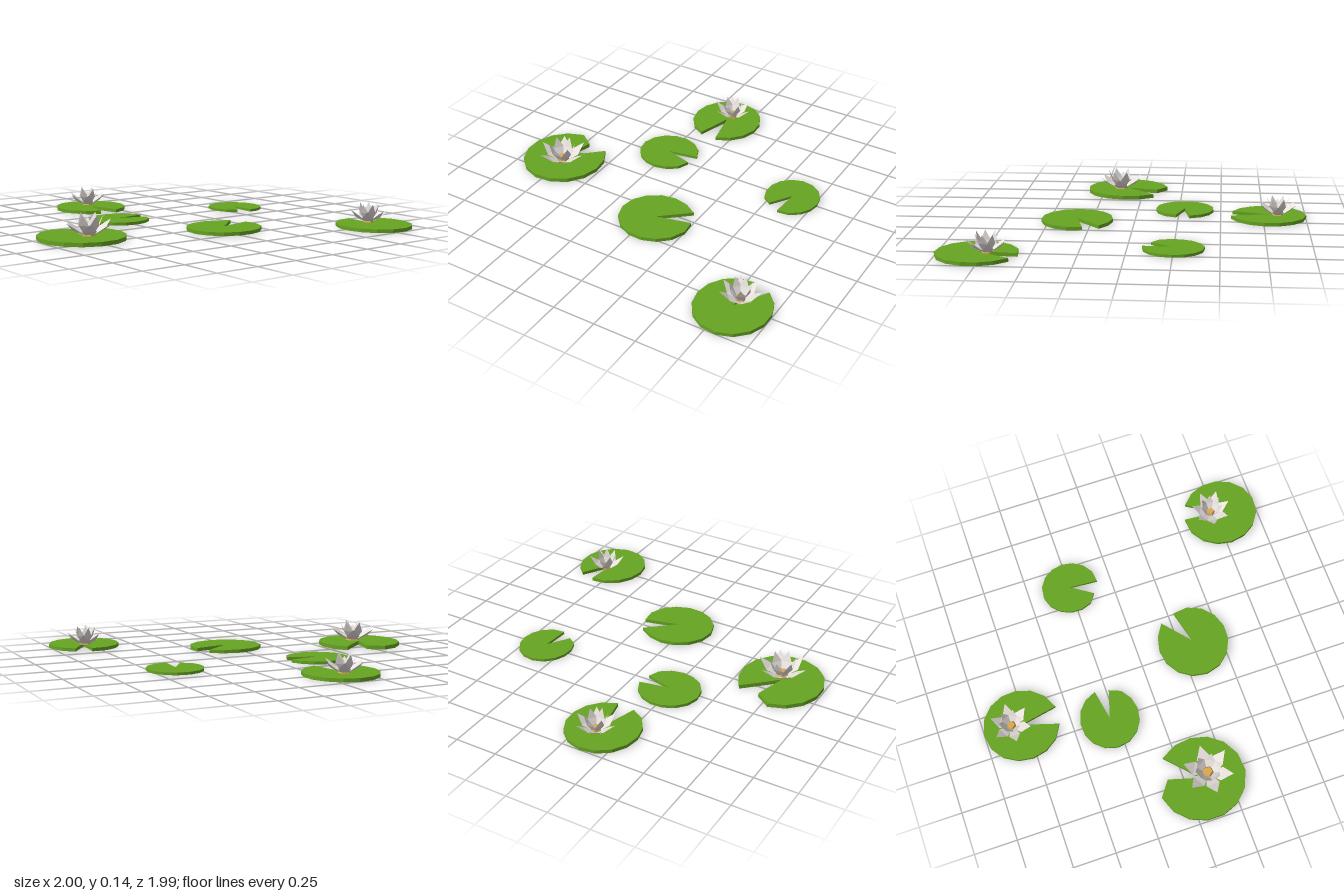
import * as THREE from 'three';

const leaf = new THREE.MeshStandardMaterial({ name: 'leaf green', color: 0x67a522, flatShading: true });
const white = new THREE.MeshStandardMaterial({ name: 'petal white', color: 0xe6dfdc, flatShading: true, side: THREE.DoubleSide });
const gold = new THREE.MeshStandardMaterial({ name: 'stamen gold', color: 0xd9a94f, flatShading: true });

// Pads: centre, radii, thickness, notch edge angles (degrees, x towards z) and edge lengths
const PADS = [
  { x: 0.78, z: -0.793, rx: 0.222, rz: 0.208, h: 0.02, from: 211, to: 545, first: 1.01, last: 1.0 },
  { x: -0.249, z: -0.614, rx: 0.168, rz: 0.157, h: 0.015, from: 33.4, to: 364, first: 0.91, last: 1.0 },
  { x: 0.334, z: -0.046, rx: 0.206, rz: 0.214, h: 0.02, from: 256, to: 589.5, first: 0.98, last: 1.036 },
  { x: -0.78, z: 0.119, rx: 0.22, rz: 0.208, h: 0.02, from: 17, to: 349, first: 1.0, last: 1.02 },
  { x: -0.284, z: 0.245, rx: 0.171, rz: 0.179, h: 0.017, from: 286.4, to: 619.8, first: 0.95, last: 1.017 },
  { x: 0.097, z: 0.755, rx: 0.251, rz: 0.241, h: 0.023, from: 226.7, to: 556, first: 1.017, last: 0.777 },
];

// Flowers: position, size, petals per ring, turn of the outer ring
const FLOWERS = [
  { x: 0.722, z: -0.805, y: 0.02, size: 0.8, tall: 0.92, petals: 7, turn: -3 },
  { x: -0.834, z: 0.108, y: 0.02, size: 0.82, tall: 0.9, petals: 6, turn: 30 },
  { x: 0.14, z: 0.737, y: 0.023, size: 1, tall: 1, petals: 6, turn: 30 },
];

const rad = THREE.MathUtils.degToRad;

// Flat leaf with a wedge cut to its centre
function makePad(p) {
  const steps = 14;
  const shape = new THREE.Shape();
  shape.moveTo(0, 0);
  for (let i = 0; i <= steps; i++) {
    const a = rad(p.from + (p.to - p.from) * i / steps);
    const u = Math.cos(a), v = Math.sin(a);
    // polar radius of the oval in this direction
    const oval = 1 / Math.hypot(u / p.rx, v / p.rz);
    const r = oval * (i === 0 ? p.first : i === steps ? p.last : 1.01);
    shape.lineTo(u * r, -v * r);
  }
  shape.closePath();
  const geo = new THREE.ExtrudeGeometry(shape, { depth: p.h, bevelEnabled: false });
  geo.rotateX(-Math.PI / 2);
  const pad = new THREE.Mesh(geo, leaf);
  pad.name = 'lilyPad';
  pad.position.set(p.x, 0, p.z);
  return pad;
}

// Petal from base, widest and tip stations, pointing along +x
function petalGeometry([base, mid, tip]) {
  const [br, by, bw] = base, [mr, my, mw] = mid, [tr, ty] = tip;
  const geo = new THREE.BufferGeometry();
  geo.setAttribute('position', new THREE.Float32BufferAttribute([
    br, by, -bw, br, by, bw, mr, my, -mw, mr, my, mw, tr, ty, 0,
  ], 3));
  geo.setIndex([0, 1, 2, 2, 1, 3, 2, 3, 4]);
  const flat = geo.toNonIndexed();
  flat.computeVertexNormals();
  return flat;
}

const OUTER = petalGeometry([[0.022, 0.003, 0.015], [0.08, 0.032, 0.04], [0.144, 0.08]]);
const INNER = petalGeometry([[0.02, 0.004, 0.014], [0.056, 0.06, 0.032], [0.08, 0.118]]);

function makeFlower(f) {
  const flower = new THREE.Group();
  flower.name = 'flower';
  const step = 360 / f.petals;
  for (let i = 0; i < f.petals; i++) {
    for (const [geo, name, shift] of [[OUTER, 'outerPetal', 0], [INNER, 'innerPetal', step / 2]]) {
      const petal = new THREE.Mesh(geo, white);
      petal.name = name;
      petal.rotation.y = -rad(f.turn + shift + step * i);
      flower.add(petal);
    }
  }
  // Faceted golden middle
  const middle = new THREE.Mesh(new THREE.CylinderGeometry(0.025, 0.043, 0.032, 5), gold);
  middle.name = 'flowerCentre';
  middle.position.y = 0.017;
  flower.add(middle);
  flower.scale.set(f.size, f.tall, f.size);
  flower.position.set(f.x, f.y, f.z);
  return flower;
}

export function createModel() {
  const group = new THREE.Group();
  group.name = 'waterLilies';
  PADS.forEach((p) => group.add(makePad(p)));
  FLOWERS.forEach((f) => group.add(makeFlower(f)));
  return group;
}
